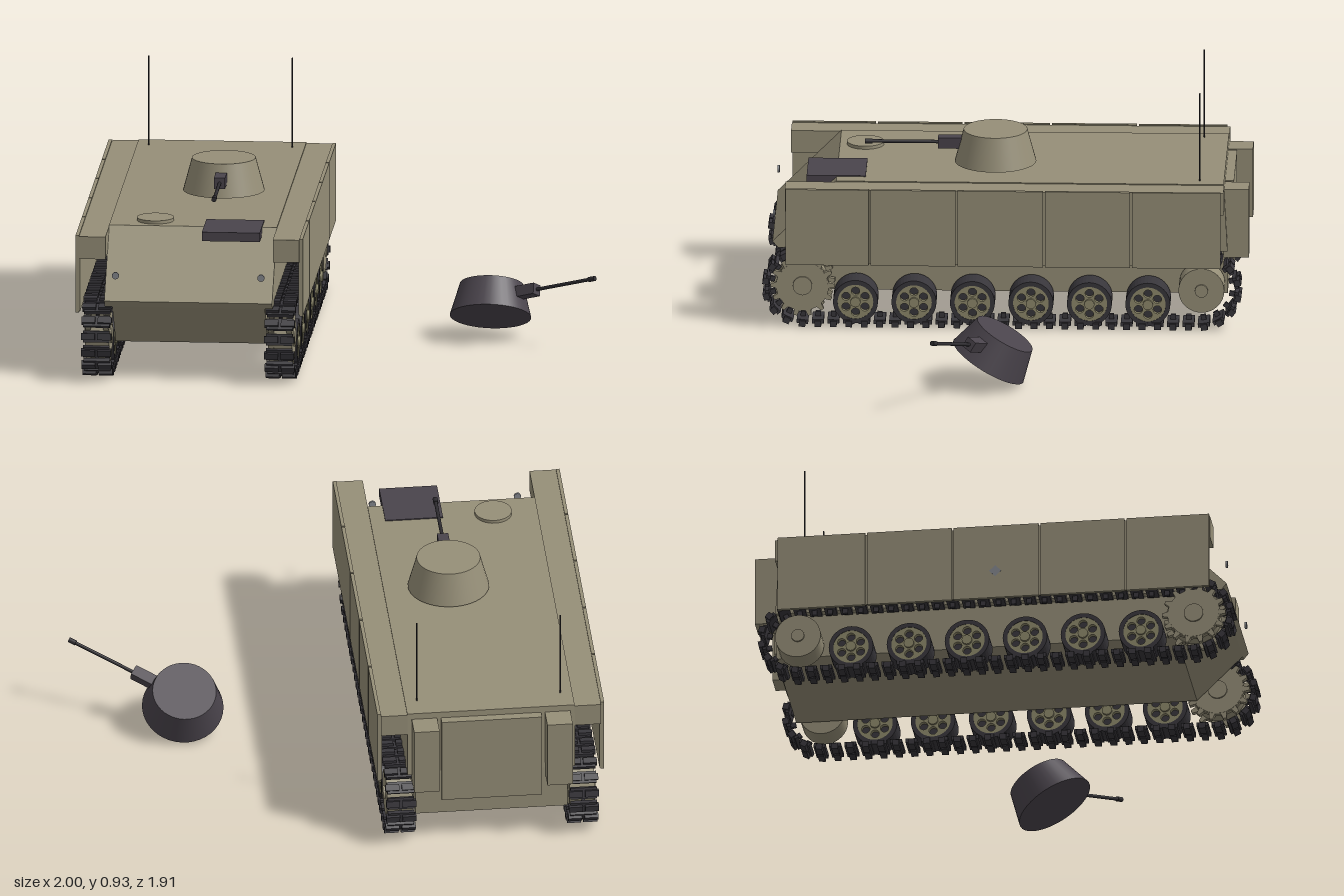
import * as THREE from 'three';
import { mergeGeometries } from 'three/addons/utils/BufferGeometryUtils.js';

const mat = (name, color, side = THREE.FrontSide) => {
  const m = new THREE.MeshStandardMaterial({ color, side });
  m.name = name;
  return m;
};

export function createModel() {
  const olive = mat('olive', 0x968f78);
  const wheelTan = mat('wheel tan', 0x8f8a6c);
  const charcoal = mat('charcoal', 0x4a444c);
  const rubber = mat('track black', 0x38363b);
  const gunmetal = mat('gunmetal', 0x2e2c30);
  const lens = mat('lens grey', 0x85888e);

  const add = (parent, name, geo, m, x = 0, y = 0, z = 0) => {
    const mesh = new THREE.Mesh(geo, m);
    mesh.name = name;
    mesh.position.set(x, y, z);
    parent.add(mesh);
    return mesh;
  };
  const box = (w, h, d) => new THREE.BoxGeometry(w, h, d);
  const cyl = (rt, rb, h, n = 32) => new THREE.CylinderGeometry(rt, rb, h, n);
  const axle = (r, w, n = 32) => cyl(r, r, w, n).rotateZ(Math.PI / 2);
  const rod = (r, l, n = 12) => cyl(r, r, l, n).rotateX(Math.PI / 2);
  // Profile in (z, y), extruded to a width centred on x = 0
  const slab = (shape, width) => new THREE.ExtrudeGeometry(shape, { depth: width, bevelEnabled: false, curveSegments: 20 })
    .translate(0, 0, -width / 2).rotateY(-Math.PI / 2);
  const poly = pts => new THREE.Shape(pts.map(p => new THREE.Vector2(p[0], p[1])));
  const circle = (x, y, r) => new THREE.Path().absarc(x, y, r, 0, Math.PI * 2, true);

  const model = new THREE.Group();
  model.name = 'trackedCarrier';
  const vehicle = new THREE.Group();
  vehicle.name = 'vehicle';
  vehicle.position.x = -0.5525;
  model.add(vehicle);

  // Hull: wide upper body, narrower lower body between the tracks
  add(vehicle, 'upperHull', slab(poly([[-0.87, 0.3], [0.895, 0.3], [0.915, 0.325], [0.665, 0.575], [-0.855, 0.575]]), 0.66), olive);
  add(vehicle, 'lowerHull', slab(poly([[-0.87, 0.12], [0.715, 0.12], [0.895, 0.3], [-0.87, 0.3]]), 0.6), olive);
  add(vehicle, 'rearDoor', box(0.395, 0.36, 0.035), olive, 0, 0.37, -0.874);

  // Tracks: links spaced along a closed loop
  const frontZ = 0.795, rearZ = -0.77, axisY = 0.16, loopR = 0.138;
  const loop = new THREE.Shape();
  loop.absarc(frontZ, axisY, loopR, -Math.PI / 2, Math.PI / 2, false);
  loop.absarc(rearZ, axisY, loopR, Math.PI / 2, Math.PI * 1.5, false);
  loop.closePath();
  const links = 66;
  const points = loop.getSpacedPoints(links);
  const linkGeo = mergeGeometries([
    box(0.104, 0.016, 0.046),
    box(0.054, 0.024, 0.026).translate(-0.032, -0.008, 0),
    box(0.054, 0.024, 0.026).translate(0.032, -0.008, 0),
    box(0.014, 0.026, 0.02).translate(0, 0.015, 0),
  ]);
  const trackParts = [];
  for (let i = 0; i < links; i++) {
    const a = points[(i + links - 1) % links], b = points[(i + 1) % links], p = points[i];
    const angle = Math.atan2(b.y - a.y, b.x - a.x);
    trackParts.push(linkGeo.clone().rotateX(-angle).translate(0, p.y, p.x));
  }
  const trackGeo = mergeGeometries(trackParts);

  // Road wheel face with six openings
  const wheelFace = new THREE.Shape().absarc(0, 0, 0.07, 0, Math.PI * 2, false);
  for (let i = 0; i < 6; i++) {
    const a = i * Math.PI / 3 + Math.PI / 6;
    wheelFace.holes.push(circle(Math.cos(a) * 0.043, Math.sin(a) * 0.043, 0.0165));
  }
  const wheelFaceGeo = slab(wheelFace, 0.096);
  const tyre = new THREE.Shape().absarc(0, 0, 0.088, 0, Math.PI * 2, false);
  tyre.holes.push(circle(0, 0, 0.07));
  const tyreGeo = slab(tyre, 0.1);

  // Drive sprocket outline with teeth
  const teeth = [];
  for (let i = 0; i < 14; i++) {
    [[-0.2, 0.104], [-0.1, 0.126], [0.1, 0.126], [0.2, 0.104]].forEach(([o, r]) => {
      const a = (i + o * 1.2) * Math.PI / 7;
      teeth.push([Math.cos(a) * r, Math.sin(a) * r]);
    });
  }
  const sprocketGeo = slab(poly(teeth), 0.02);

  const panelEnds = [0.865, 0.53, 0.19, -0.153, -0.495, -0.85];
  for (const s of [-1, 1]) {
    const side = s > 0 ? 'left' : 'right';
    const x = s * 0.36;
    // Running gear
    add(vehicle, side + 'Track', trackGeo, rubber, x);
    for (let i = 0; i < 6; i++) {
      const wheel = new THREE.Group();
      wheel.name = side + 'RoadWheel';
      wheel.position.set(x, 0.104, 0.587 - i * 0.2294);
      vehicle.add(wheel);
      add(wheel, 'tyre', tyreGeo, rubber);
      add(wheel, 'wheelFace', wheelFaceGeo, wheelTan);
      add(wheel, 'wheelCore', axle(0.068, 0.06), rubber);
      add(wheel, 'hub', axle(0.02, 0.116, 16), wheelTan);
    }
    for (const o of [-0.035, 0.035]) add(vehicle, side + 'Sprocket', sprocketGeo, olive, x + o, axisY + 0.008, frontZ);
    add(vehicle, side + 'SprocketDrum', axle(0.1, 0.094), olive, x, axisY + 0.008, frontZ);
    add(vehicle, side + 'SprocketHub', axle(0.038, 0.108, 20), olive, x, axisY + 0.008, frontZ);
    add(vehicle, side + 'Idler', axle(0.09, 0.1), olive, x, axisY + 0.003, rearZ);
    add(vehicle, side + 'IdlerHub', axle(0.026, 0.116, 16), olive, x, axisY + 0.003, rearZ);

    // Sponson and five skirt panels
    add(vehicle, side + 'Sponson', box(0.104, 0.09, 1.72), olive, s * 0.381, 0.526, 0.003);
    for (let i = 0; i < 5; i++) {
      const a = panelEnds[i], b = panelEnds[i + 1];
      add(vehicle, side + 'SkirtPanel', box(0.014, 0.31, a - b - 0.008), olive, s * 0.44, 0.42, (a + b) / 2);
    }
    add(vehicle, side + 'SkirtBacking', box(0.007, 0.3, 1.7), olive, s * 0.4325, 0.42, 0.007);

    // Rear stowage box, headlight and antenna
    add(vehicle, side + 'RearBox', box(0.1, 0.28, 0.1), olive, s * 0.2625, 0.41, -0.903);
    add(vehicle, side + 'Headlight', rod(0.014, 0.008, 16), lens, s * 0.286, 0.427, 0.91);
    add(vehicle, side + 'Antenna', cyl(0.003, 0.003, 0.365, 8), gunmetal, s * 0.282, 0.752, -0.76);
  }
  add(vehicle, 'sideMarker', axle(0.024, 0.004, 4), lens, -0.446, 0.38, 0.015);

  // Roof hatches
  add(vehicle, 'roundHatch', cyl(0.073, 0.073, 0.02), olive, -0.155, 0.578, 0.565);
  add(vehicle, 'squareHatch', box(0.228, 0.036, 0.232), charcoal, 0.158, 0.561, 0.667);

  // Turret standing on y = 0 with the gun along +z
  const makeTurret = (name, shellMat) => {
    const t = new THREE.Group();
    t.name = name;
    add(t, 'turretShell', cyl(0.125, 0.16, 0.13, 40), shellMat, 0, 0.065, 0);
    add(t, 'gunMount', box(0.044, 0.044, 0.13), charcoal, 0, 0.075, 0.16);
    add(t, 'barrel', rod(0.007, 0.29), gunmetal, 0, 0.075, 0.36);
    add(t, 'muzzle', rod(0.01, 0.03), gunmetal, 0, 0.075, 0.497);
    return t;
  };
  const turret = makeTurret('turret', olive);
  turret.position.set(0.0745, 0.585, 0.048);
  vehicle.add(turret);
  add(turret, 'turretRing', cyl(0.112, 0.112, 0.024), charcoal, 0, -0.01, 0);

  // Detached turret, tipped back beside the vehicle
  const wreck = makeTurret('detachedTurret', charcoal);
  wreck.position.set(0.57, 0.092, 0.043);
  wreck.rotation.set(-Math.PI / 6, 0.985, 0);
  model.add(wreck);

  return model;
}
